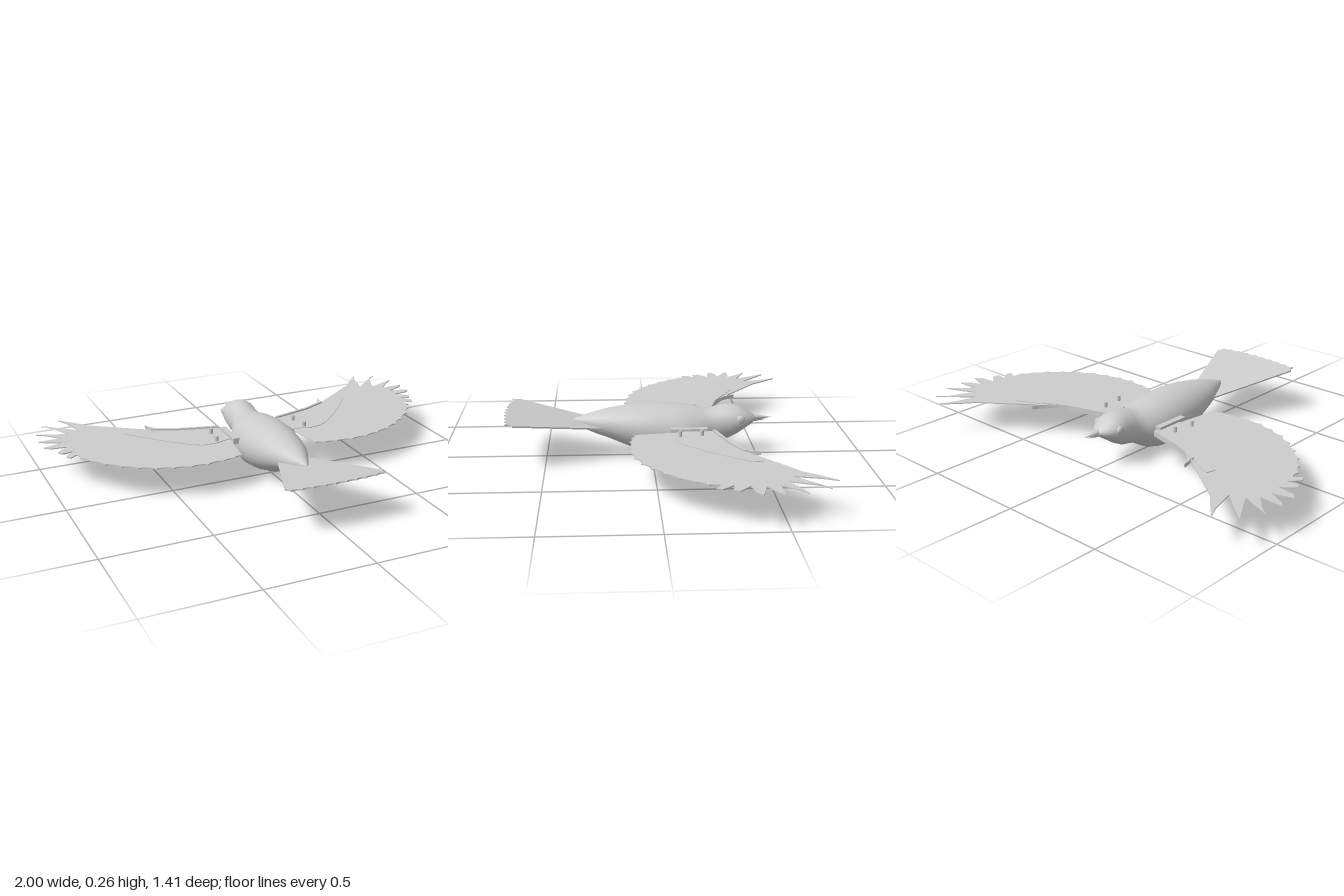
import * as THREE from 'three';

const plumage = new THREE.MeshStandardMaterial({ color: 0xcccccc });
plumage.name = 'pale grey';

function add(parent, name, geometry, x = 0, y = 0, z = 0) {
  const mesh = new THREE.Mesh(geometry, plumage);
  mesh.name = name;
  mesh.position.set(x, y, z);
  parent.add(mesh);
  return mesh;
}

// Flat plate from an (x, z) outline, centred on y = 0
function plate(shape, thickness) {
  const g = new THREE.ExtrudeGeometry(shape, { depth: thickness, bevelEnabled: false, curveSegments: 5 });
  g.translate(0, 0, -thickness / 2);
  return g.rotateX(Math.PI / 2);
}

// Rounded feather ends between successive points, bulging to one side
function scallops(shape, points, bulge) {
  let [px, pz] = points[0];
  shape.lineTo(px, pz);
  for (const [x, z] of points.slice(1)) {
    const dx = x - px, dz = z - pz;
    shape.bezierCurveTo(
      px + dx * 0.1 - dz * bulge, pz + dz * 0.1 + dx * bulge,
      px + dx * 0.9 - dz * bulge, pz + dz * 0.9 + dx * bulge, x, z);
    px = x; pz = z;
  }
}

// Body cross-sections: z, top, bottom, half width
const SECTIONS = [
  [0.372, 0.186, 0.178, 0.004], [0.355, 0.194, 0.160, 0.018], [0.30, 0.211, 0.130, 0.046],
  [0.25, 0.225, 0.110, 0.069], [0.20, 0.236, 0.093, 0.089], [0.10, 0.252, 0.050, 0.115],
  [0, 0.26, 0.018, 0.131], [-0.10, 0.255, 0.004, 0.137], [-0.16, 0.249, 0.010, 0.131],
  [-0.21, 0.240, 0.026, 0.117], [-0.25, 0.230, 0.050, 0.098], [-0.28, 0.231, 0.068, 0.083],
  [-0.31, 0.242, 0.074, 0.077], [-0.36, 0.251, 0.084, 0.079], [-0.40, 0.245, 0.105, 0.079],
  [-0.43, 0.233, 0.126, 0.073], [-0.46, 0.213, 0.146, 0.054], [-0.485, 0.196, 0.163, 0.028],
  [-0.495, 0.186, 0.172, 0.010]
];

function bodyGeometry(sides = 28) {
  const pos = [], index = [];
  for (const [z, top, bottom, w] of SECTIONS) {
    for (let i = 0; i < sides; i++) {
      const a = (i / sides) * Math.PI * 2;
      pos.push(Math.cos(a) * w, (top + bottom) / 2 + Math.sin(a) * (top - bottom) / 2, z);
    }
  }
  for (let r = 0; r < SECTIONS.length - 1; r++) {
    for (let i = 0; i < sides; i++) {
      const j = (i + 1) % sides, a = r * sides + i, b = r * sides + j;
      index.push(a, a + sides, b, b, a + sides, b + sides);
    }
  }
  // end caps
  const last = (SECTIONS.length - 1) * sides;
  for (let i = 1; i < sides - 1; i++) {
    index.push(0, i, i + 1, last, last + i + 1, last + i);
  }
  const g = new THREE.BufferGeometry();
  g.setAttribute('position', new THREE.Float32BufferAttribute(pos, 3));
  g.setIndex(index);
  g.computeVertexNormals();
  return g;
}

// Long primary feathers: notch before the tip, then the tip
const FINGERS = [
  [0.73, -0.585, 0.845, -0.715], [0.785, -0.535, 0.94, -0.665], [0.845, -0.505, 0.99, -0.565],
  [0.885, -0.465, 1.0, -0.47], [0.895, -0.41, 0.995, -0.385], [0.89, -0.35, 0.95, -0.30],
  [0.88, -0.285, 0.925, -0.235]
];
const TRAILING = [
  [0.88, -0.235], [0.875, -0.185], [0.84, -0.13], [0.795, -0.07], [0.735, -0.015], [0.67, 0.035],
  [0.60, 0.075], [0.525, 0.10], [0.45, 0.118], [0.37, 0.125], [0.29, 0.115], [0.235, 0.105], [0.19, 0.088]
];
const COVERT = [
  [0.155, -0.285], [0.35, -0.335], [0.46, -0.385], [0.595, -0.445], [0.605, -0.40], [0.55, -0.33],
  [0.45, -0.215], [0.36, -0.13], [0.31, -0.097], [0.25, -0.093], [0.16, -0.12]
];

function buildWing(s) {
  const wing = new THREE.Group();
  wing.name = s > 0 ? 'leftWing' : 'rightWing';
  wing.position.y = 0.157;
  const flip = (pts) => pts.map(([x, z]) => [x * s, z]);

  // feather sheet with fingered tip and scalloped trailing edge
  const shape = new THREE.Shape();
  shape.moveTo(s * 0.155, -0.285);
  for (const [x, z] of [[0.35, -0.335], [0.46, -0.39], [0.605, -0.495]]) shape.lineTo(s * x, z);
  for (const [nx, nz, tx, tz] of FINGERS) {
    shape.lineTo(s * nx, nz);
    // leading side sweeps gently to the tip, trailing side curves back
    shape.quadraticCurveTo(s * (nx + tx) / 2, (nz + tz) / 2 - 0.006, s * tx, tz);
    shape.lineTo(s * (tx - (tx - nx) * 0.25), tz + (tx > 0.9 ? 0.025 : 0.06));
  }
  scallops(shape, flip(TRAILING), s * 0.22);
  shape.lineTo(s * 0.165, -0.09);
  shape.closePath();
  add(wing, 'flightFeathers', plate(shape, 0.005));

  // raised inner panel
  const panel = new THREE.Shape(flip(COVERT).map(([x, z]) => new THREE.Vector2(x, z)));
  add(wing, 'covertPanel', plate(panel, 0.011));

  // thick leading edge
  const spar = new THREE.Shape(flip([[0.155, -0.287], [0.35, -0.338], [0.47, -0.392], [0.47, -0.38],
    [0.35, -0.324], [0.155, -0.272]]).map(([x, z]) => new THREE.Vector2(x, z)));
  add(wing, 'leadingEdge', plate(spar, 0.026));

  // small thumb feather ahead of the wrist
  const thumb = new THREE.Shape();
  thumb.moveTo(s * 0.37, -0.345);
  thumb.quadraticCurveTo(s * 0.45, -0.38, s * 0.478, -0.45);
  thumb.quadraticCurveTo(s * 0.475, -0.41, s * 0.455, -0.38);
  thumb.closePath();
  add(wing, 'thumbFeather', plate(thumb, 0.018));

  // root mount and fastening pegs
  add(wing, 'wingRoot', new THREE.BoxGeometry(0.03, 0.03, 0.17), s * 0.145, 0.002, -0.165);
  for (const [x, z] of [[0.22, -0.218], [0.232, -0.118]]) {
    add(wing, 'peg', new THREE.CylinderGeometry(0.009, 0.009, 0.056, 12), s * x, 0.003, z);
  }
  return wing;
}

function buildTail() {
  const shape = new THREE.Shape();
  shape.moveTo(-0.06, 0);
  shape.lineTo(0.06, 0);
  const edge = [[0.237, 0.455]];
  for (let i = 0; i <= 9; i++) {
    const x = 0.225 - i * 0.05;
    edge.push([x, 0.507 - 0.35 * x * x]);
  }
  edge.push([-0.237, 0.455]);
  scallops(shape, edge, -0.3 * -1);
  shape.closePath();
  const g = plate(shape, 0.007);
  // fan tilted upward toward its end
  g.rotateX(-Math.atan2(0.08, 0.5));
  return g;
}

export function createModel() {
  const bird = new THREE.Group();
  bird.name = 'bird';
  add(bird, 'body', bodyGeometry());

  // beak in two halves
  const upper = new THREE.ConeGeometry(0.017, 0.095, 10).rotateX(-Math.PI / 2);
  add(bird, 'upperBeak', upper, 0, 0.182, -0.522);
  const lower = new THREE.ConeGeometry(0.013, 0.07, 10).rotateX(-Math.PI / 2);
  add(bird, 'lowerBeak', lower, 0, 0.172, -0.512);

  for (const s of [1, -1]) {
    const eye = add(bird, 'eye', new THREE.SphereGeometry(0.02, 16, 10), s * 0.071, 0.19, -0.415);
    eye.scale.x = 0.6;
    bird.add(buildWing(s));
  }

  add(bird, 'tail', buildTail(), 0, 0.148, 0.19);
  return bird;
}
